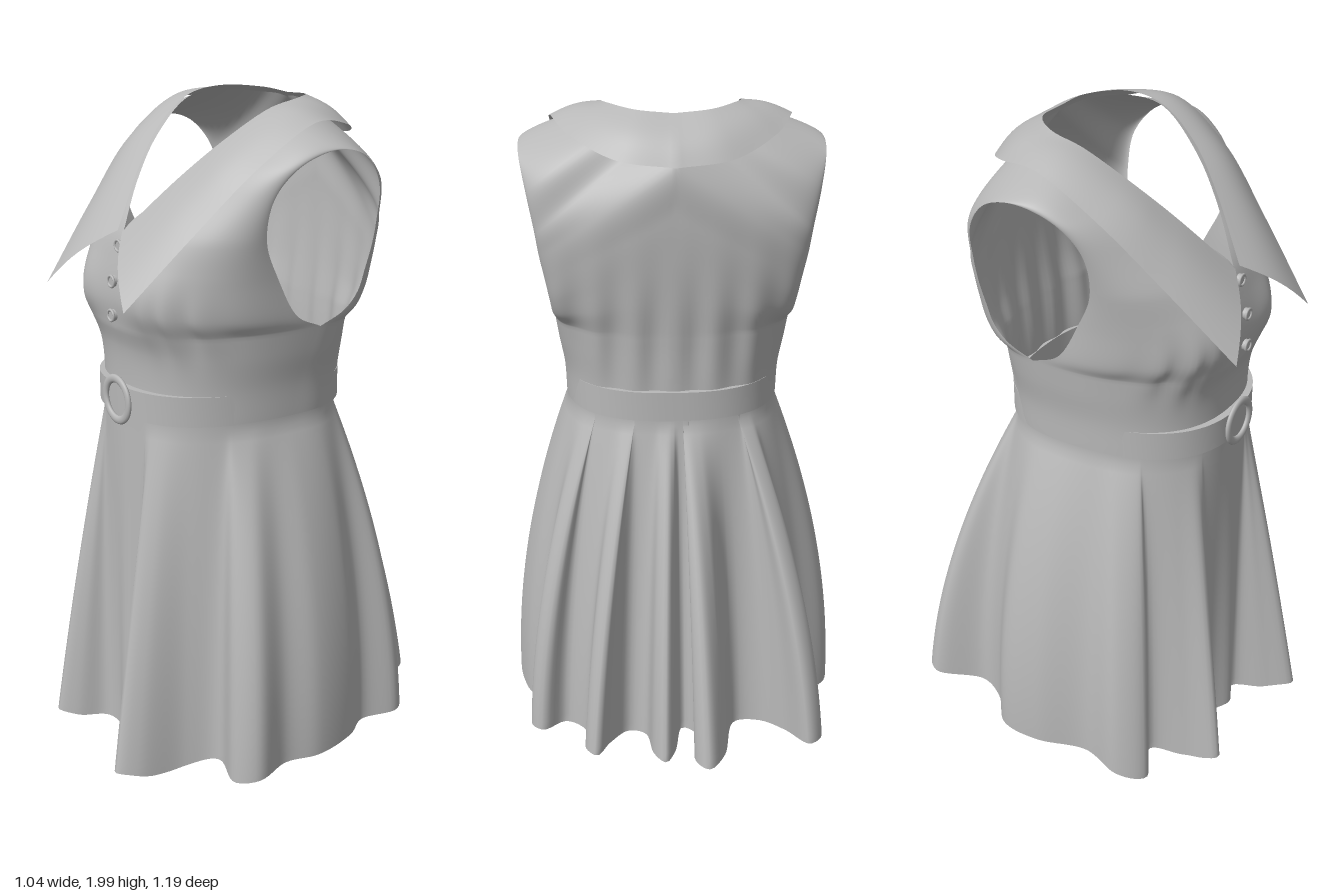
import * as THREE from 'three';
import { mergeGeometries, mergeVertices, toCreasedNormals } from 'three/addons/utils/BufferGeometryUtils.js';

const V = (x, y, z) => new THREE.Vector3(x, y, z);
const track = (pts) => new THREE.CatmullRomCurve3(pts.map((p) => V(...p)));

// Grid surface from rows of points
function grid(rows) {
  const n = rows[0].length, pos = [], idx = [];
  rows.forEach((r) => r.forEach((p) => pos.push(p.x, p.y, p.z)));
  for (let i = 0; i < rows.length - 1; i++) {
    for (let j = 0; j < n - 1; j++) {
      const a = i * n + j, d = a + n;
      idx.push(a, a + 1, d + 1, a, d + 1, d);
    }
  }
  const g = new THREE.BufferGeometry();
  g.setAttribute('position', new THREE.Float32BufferAttribute(pos, 3));
  g.setIndex(idx);
  return g;
}

// Joins half surfaces with their mirror images and smooths the seams
function mirrored(parts) {
  const all = [];
  for (const g of parts) {
    const m = g.clone().scale(-1, 1, 1), ix = m.index.array;
    for (let i = 0; i < ix.length; i += 3) [ix[i], ix[i + 1]] = [ix[i + 1], ix[i]];
    all.push(g, m);
  }
  const g = mergeVertices(mergeGeometries(all), 1e-4);
  g.computeVertexNormals();
  return g;
}

// Bust shape and gathers in the cloth
function drape(p) {
  const ax = Math.abs(p.x), { y, z } = p;
  if (z > 0.1) {
    p.z += 0.03 * Math.exp(-((ax - 0.17) ** 2) / 0.008 - (y - 1.47) ** 2 / 0.012);
    p.z += 0.008 * Math.sin(ax * 95) * Math.exp(-((ax - 0.24) ** 2) / 0.006 - (y - 1.39) ** 2 / 0.007);
  } else if (z < -0.1) {
    const k = THREE.MathUtils.smoothstep(-z, 0.1, 0.22);
    p.z -= 0.007 * k * Math.cos(ax * 55) * Math.exp(-((y - 1.32) ** 2) / 0.04);
  }
  return p;
}

// Cloth from the centre line (inner) to the side (outer); shape = [roundness, bulge, lift]
function cloth(list, steps) {
  const inner = track(list.map((r) => r[0])), outer = track(list.map((r) => r[1]));
  const shape = track(list.map((r) => r[2]));
  const rows = [];
  for (let i = 0; i <= steps; i++) {
    const I = inner.getPoint(i / steps), O = outer.getPoint(i / steps), S = shape.getPoint(i / steps);
    I.x = Math.max(0, I.x);
    const row = [];
    for (let j = 0; j <= 40; j++) {
      const a = (j / 40) * Math.PI / 2, arch = Math.sin(2 * a);
      const f = Math.sin(a) ** S.x, c = j === 40 ? 0 : Math.cos(a) ** S.x;
      row.push(drape(V(I.x + (O.x - I.x) * f, I.y + (O.y - I.y) * f + S.z * arch,
        O.z + (I.z - O.z) * c + S.y * arch)));
    }
    rows.push(row);
  }
  return grid(rows);
}

// Waist outline along a direction, optionally grown at front and back
function waist(dx, dz, grow = 0, half = 0.322) {
  const b = (dz > 0 ? 0.412 : 0.262) + grow, p = 2.4;
  const r = ((Math.abs(dx) / half) ** p + (Math.abs(dz) / b) ** p) ** (-1 / p);
  return [dx * r, dz * r];
}

export function createModel() {
  const group = new THREE.Group();
  const grey = new THREE.MeshStandardMaterial({ color: 0xb8b8b8, side: THREE.DoubleSide });
  grey.name = 'greyCloth';
  const add = (name, geometry, x = 0, y = 0, z = 0) => {
    const m = new THREE.Mesh(geometry, grey);
    m.name = name;
    m.position.set(x, y, z);
    group.add(m);
  };

  // Bodice: front panel, over the shoulder, down the back
  const upper = cloth([
    [[0, 1.36, 0.43], [0.35, 1.365, -0.05], [0.83, 0, 0]],
    [[0, 1.45, 0.438], [0.355, 1.41, 0.04], [0.85, 0, 0]],
    [[0, 1.55, 0.422], [0.355, 1.53, 0.11], [0.9, 0, 0]],
    [[0, 1.64, 0.392], [0.362, 1.64, 0.155], [1, 0, 0]],
    [[0.095, 1.76, 0.283], [0.382, 1.76, 0.145], [1.2, 0, 0]],
    [[0.16, 1.87, 0.172], [0.412, 1.845, 0.08], [1.1, 0, 0]],
    [[0.205, 1.966, 0.03], [0.436, 1.885, -0.03], [1, 0, 0.009]],
    [[0.193, 1.982, -0.07], [0.435, 1.86, -0.13], [1, -0.015, 0.009]],
    [[0.115, 1.978, -0.163], [0.415, 1.77, -0.2], [1, -0.045, 0.012]],
    [[0, 1.97, -0.19], [0.395, 1.66, -0.21], [1, -0.052, 0.012]],
    [[0, 1.865, -0.298], [0.385, 1.59, -0.205], [1.05, -0.008, 0.005]],
    [[0, 1.73, -0.303], [0.372, 1.52, -0.193], [1, -0.004, 0]],
    [[0, 1.6, -0.298], [0.36, 1.45, -0.175], [0.95, 0, 0]],
    [[0, 1.48, -0.288], [0.355, 1.4, -0.13], [0.88, 0, 0]],
    [[0, 1.36, -0.275], [0.35, 1.365, -0.05], [0.83, 0, 0]],
  ], 112);
  const sides = [[0.322, 1.1, 0], [0.326, 1.2, -0.01], [0.34, 1.29, -0.03], [0.35, 1.365, -0.05]];
  const heights = [1.1, 1.2, 1.3, 1.36];
  const band = (depths) => heights.map((y, i) => [[0, y, depths[i]], sides[i], [0.83, 0, 0]]);
  const frontBand = cloth(band([0.412, 0.408, 0.414, 0.43]), 18);
  const backBand = cloth(band([-0.262, -0.265, -0.27, -0.275]).reverse(), 18);
  add('bodice', mirrored([upper, frontBand, backBand]));

  // Collar: inner and outer edges from the front points round to the back
  const inEdge = track([[0.012, 1.64, 0.405], [0.11, 1.8, 0.265], [0.17, 1.9, 0.155], [0.2, 1.975, 0.03],
    [0.188, 1.995, -0.08], [0.105, 1.992, -0.172], [0, 1.985, -0.19]]);
  const outEdge = track([[0.214, 1.465, 0.53], [0.281, 1.67, 0.338], [0.335, 1.84, 0.165], [0.348, 1.948, -0.02],
    [0.29, 1.925, -0.18], [0.16, 1.88, -0.295], [0, 1.865, -0.325]]);
  const collarRows = [];
  for (let i = 0; i <= 60; i++) {
    const a = inEdge.getPoint(i / 60), b = outEdge.getPoint(i / 60), row = [];
    for (let j = 0; j <= 10; j++) {
      const p = a.clone().lerp(b, j / 10), lift = Math.sin(j / 10 * Math.PI);
      p.y += 0.012 * lift;
      p.z += 0.016 * lift * THREE.MathUtils.clamp(a.z * 5, -1, 1);
      row.push(p);
    }
    collarRows.push(row);
  }
  add('collar', mirrored([grid(collarRows)]));

  // Skirt: waist outline blended into a hem with deep folds
  const hemPoints = [[-0.09, -0.595], [-0.05, -0.55], [-0.06, -0.4], [-0.02, -0.36], [0.01, -0.5], [0.04, -0.555],
    [0.075, -0.51], [0.1, -0.39], [0.15, -0.37], [0.21, -0.44], [0.25, -0.51], [0.285, -0.47], [0.285, -0.36],
    [0.35, -0.3], [0.42, -0.35], [0.46, -0.31], [0.43, -0.19], [0.48, -0.1], [0.51, 0.05], [0.485, 0.16],
    [0.515, 0.28], [0.46, 0.335], [0.34, 0.31], [0.28, 0.39], [0.245, 0.54], [0.2, 0.595], [0.145, 0.52],
    [0.09, 0.42], [0.02, 0.45], [-0.06, 0.42], [-0.13, 0.43], [-0.18, 0.51], [-0.235, 0.55], [-0.275, 0.45],
    [-0.33, 0.35], [-0.43, 0.4], [-0.49, 0.32], [-0.465, 0.19], [-0.515, 0.03], [-0.51, -0.1], [-0.42, -0.19],
    [-0.385, -0.28], [-0.455, -0.43], [-0.41, -0.48], [-0.34, -0.39], [-0.27, -0.33], [-0.19, -0.33], [-0.14, -0.53]];
  const hem = new THREE.CatmullRomCurve3(hemPoints.map(([x, z]) => V(x, 0, z)), true).getSpacedPoints(320);
  const skirtRows = [];
  const step = THREE.MathUtils.smoothstep;
  for (let i = 0; i <= 40; i++) {
    const t = i / 40, open = Math.max(0, (t - 0.025) / 0.975);
    skirtRows.push(hem.map((h) => {
      const len = Math.hypot(h.x, h.z), dx = h.x / len, dz = h.z / len;
      const [wx, wz] = waist(dx, dz);
      const flare = dx * dx + (dz < 0 ? 0.35 * dz * dz : 0);
      const s = open + flare * (open - open * open);
      const hemY = 0.052 - 0.042 * step(h.z, 0.25, 0.45) + 0.02 * step(h.z, 0.48, 0.6) + 0.028 * step(-h.z, 0.2, 0.55);
      return V(wx + (h.x - wx) * s, 1.1 + (hemY - 1.1) * t, wz + (h.z - wz) * s);
    }));
  }
  const skirt = mergeVertices(grid(skirtRows), 1e-4);
  skirt.computeVertexNormals();
  add('skirt', skirt);

  // Belt standing proud at front and back, sinking into the side seams
  const outline = (grow, half) => Array.from({ length: 96 }, (_, i) => {
    const a = (i / 96) * Math.PI * 2;
    const [x, z] = waist(Math.sin(a), Math.cos(a), grow, half);
    return new THREE.Vector2(x, -z);
  });
  const beltShape = new THREE.Shape(outline(0.018, 0.319));
  beltShape.holes.push(new THREE.Path(outline(-0.004, 0.311)));
  const belt = new THREE.ExtrudeGeometry(beltShape, { depth: 0.09, bevelEnabled: false });
  add('belt', toCreasedNormals(belt.rotateX(-Math.PI / 2), 0.6), 0, 1.098, 0);

  // Round buckle
  add('buckle', new THREE.TorusGeometry(0.063, 0.013, 12, 48).scale(1, 1, 0.6), 0.005, 1.142, 0.434);

  // Buttons down the front
  for (const [y, z] of [[1.6, 0.412], [1.5, 0.438], [1.4, 0.442]]) {
    add('button', new THREE.CylinderGeometry(0.017, 0.017, 0.012, 20).rotateX(Math.PI / 2), 0.008, y, z);
    add('buttonRim', new THREE.TorusGeometry(0.016, 0.004, 8, 24), 0.008, y, z + 0.006);
  }
  return group;
}
